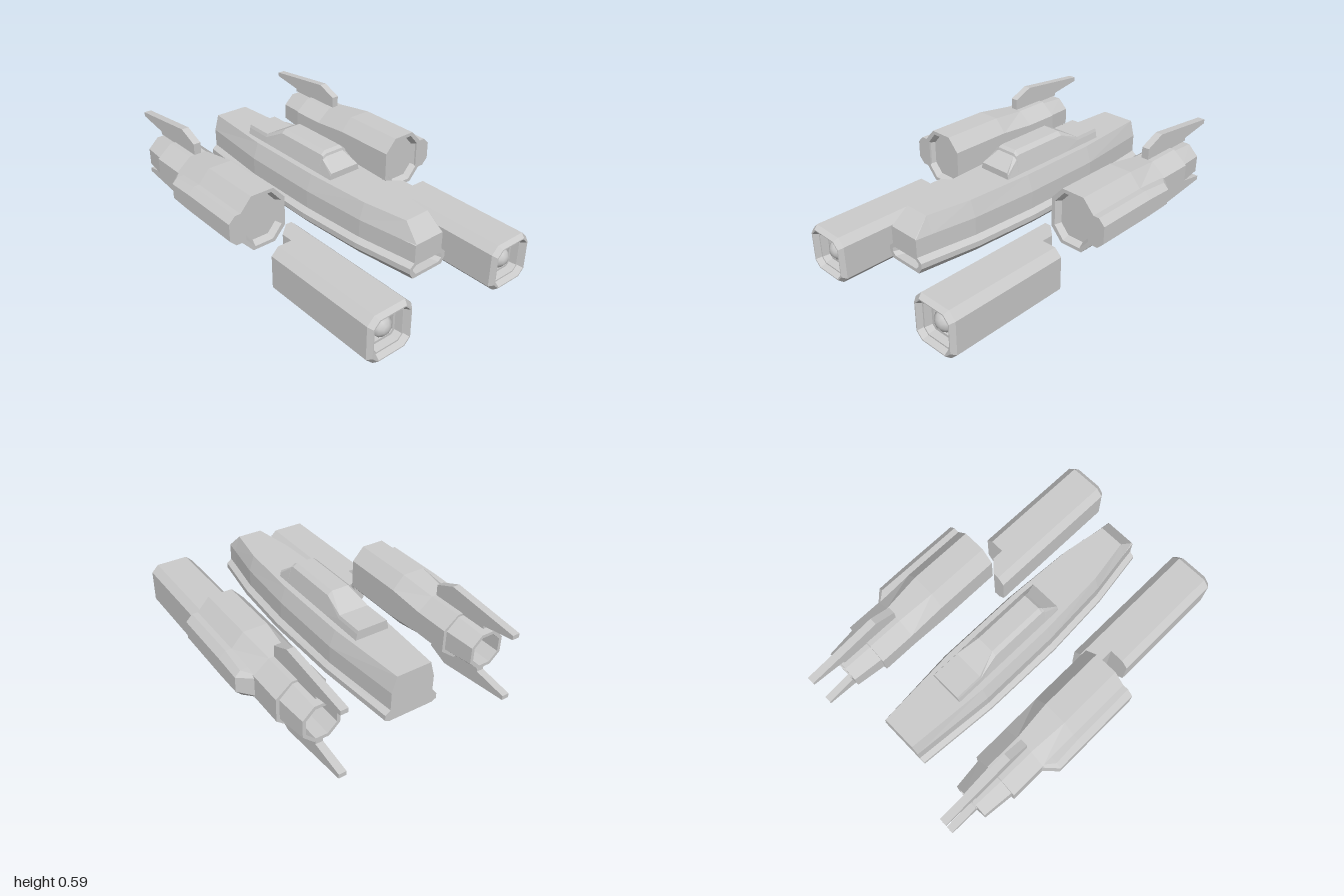
import * as THREE from 'three';

const material = new THREE.MeshStandardMaterial({ color: 0xcccccc, flatShading: true });

// Skin rings of [x, y, z] points (counter-clockwise from the front, listed front to back) and cap both ends.
function loft(name, rings, side = 1) {
  const R = rings.map(r => {
    const m = r.map(([x, y, z]) => [x * side, y, z]);
    return side < 0 ? m.reverse() : m;
  });
  const pos = [];
  const tri = (...p) => p.forEach(q => pos.push(...q));
  const n = R[0].length;
  for (let k = 0; k < R.length - 1; k++) {
    const a = R[k], b = R[k + 1];
    for (let i = 0; i < n; i++) {
      const j = (i + 1) % n;
      tri(a[i], b[i], b[j]);
      tri(a[i], b[j], a[j]);
    }
  }
  const first = R[0], last = R[R.length - 1];
  for (let i = 1; i < n - 1; i++) {
    tri(first[0], first[i], first[i + 1]);
    tri(last[0], last[i + 1], last[i]);
  }
  const g = new THREE.BufferGeometry();
  g.setAttribute('position', new THREE.Float32BufferAttribute(pos, 3));
  g.computeVertexNormals();
  const mesh = new THREE.Mesh(g, material);
  mesh.name = name;
  return mesh;
}

// Octagon with half sizes hx, hy and half flats fx, fy.
const oct = (cx, cy, hx, hy, fx, fy, z) => [
  [-fx, -hy], [fx, -hy], [hx, -fy], [hx, fy], [fx, hy], [-fx, hy], [-hx, fy], [-hx, -fy],
].map(([x, y]) => [cx + x, cy + y, z]);

// Symmetric ring from its right-hand half, listed bottom to top.
const mirrored = (half, z) => [
  ...half.map(([x, y]) => [x, y, z]),
  ...half.slice().reverse().map(([x, y]) => [-x, y, z]),
];

function createHull() {
  const hull = new THREE.Group();
  hull.name = 'hull';

  // z, top half-width, side half-width, lip half-width, keel half-width, top y, bottom y
  const stations = [
    [0.81, 0.088, 0.093, 0.122, 0.1, 0.368, 0.178],
    [0.72, 0.072, 0.105, 0.135, 0.11, 0.455, 0.177],
    [0.47, 0.113, 0.143, 0.172, 0.14, 0.455, 0.175],
    [0.08, 0.133, 0.165, 0.195, 0.16, 0.455, 0.175],
    [-0.4, 0.133, 0.165, 0.19, 0.16, 0.455, 0.178],
    [-0.86, 0.1, 0.126, 0.155, 0.13, 0.455, 0.2],
  ];
  hull.add(loft('upperHull', stations.map(([z, t, s, , , top]) =>
    mirrored([[s, 0.25], [s, 0.365], [t, top]], z))));

  // Lower deck with a recessed intake in the nose
  const deck = stations.map(([z, , s, l, k, , bottom]) =>
    mirrored([[k, bottom], [l, 0.213], [l, 0.243], [s, 0.265]], z));
  const intake = (w, z) => mirrored([[w - 0.02, 0.197], [w, 0.214], [w, 0.236], [w - 0.02, 0.25]], z);
  hull.add(loft('lowerDeck', [intake(0.085, 0.76), intake(0.1, 0.81), ...deck]));

  // Raised cabin: z, mid half-width, mid y, top half-width, top y
  hull.add(loft('cabin', [
    [0.193, 0.095, 0.475, 0.09, 0.49],
    [0.11, 0.08, 0.535, 0.056, 0.548],
    [0.107, 0.076, 0.55, 0.056, 0.562],
    [0.09, 0.075, 0.555, 0.05, 0.575],
    [-0.245, 0.075, 0.555, 0.05, 0.575],
    [-0.37, 0.092, 0.49, 0.086, 0.508],
    [-0.53, 0.092, 0.49, 0.086, 0.508],
  ].map(([z, m, my, t, ty]) => mirrored([[0.1, 0.45], [m, my], [t, ty]], z))));
  return hull;
}

function createFin(name, flip) {
  const profile = [[-0.455, 0.475], [-0.455, 0.545], [-0.57, 0.593], [-1, 0.546],
    [-1, 0.522], [-0.81, 0.492], [-0.81, 0.475]];
  const shape = new THREE.Shape(profile.map(([z, y]) => new THREE.Vector2(-z, flip ? 0.7 - y : y)));
  const g = new THREE.ExtrudeGeometry(shape, { depth: 0.042, bevelEnabled: false });
  g.translate(0, 0, -0.021).rotateY(Math.PI / 2);
  const fin = new THREE.Mesh(g, material);
  fin.name = name;
  return fin;
}

function createEngine(side) {
  const engine = new THREE.Group();
  engine.name = side > 0 ? 'leftEngine' : 'rightEngine';
  const cx = 0.492, cy = 0.35;
  const ring = (hx, hy, fx, fy, z) => oct(cx, cy, hx, hy, fx, fy, z);

  // Body with a shallow recessed front
  engine.add(loft('engineBody', [
    ring(0.097, 0.12, 0.048, 0.064, 0.105),
    ring(0.113, 0.138, 0.055, 0.07, 0.14),
    ring(0.135, 0.158, 0.067, 0.083, 0.14),
    ring(0.135, 0.158, 0.067, 0.083, -0.235),
    ring(0.135, 0.132, 0.05, 0.064, -0.455),
    ring(0.135, 0.132, 0.05, 0.064, -0.66),
  ], side));

  // Hollow nozzle
  engine.add(loft('nozzle', [
    ring(0.118, 0.12, 0.047, 0.056, -0.65),
    ring(0.1, 0.103, 0.04, 0.047, -0.83),
    ring(0.082, 0.085, 0.033, 0.039, -0.83),
    ring(0.082, 0.085, 0.033, 0.039, -0.67),
  ], side));

  // Outer side pod, tapering into the body at the rear
  const pod = (x, c, h, z) => [
    [0.6, cy - h, z], [x - c, cy - h, z], [x, cy - h + c, z],
    [x, cy + h - c, z], [x - c, cy + h, z], [0.6, cy + h, z],
  ];
  engine.add(loft('sidePod', [
    pod(0.695, 0.036, 0.085, 0.14), pod(0.695, 0.036, 0.085, -0.235),
    pod(0.695, 0.03, 0.073, -0.395), pod(0.627, 0.015, 0.066, -0.46),
  ], side));

  for (const flip of [false, true]) {
    const fin = createFin(flip ? 'lowerFin' : 'upperFin', flip);
    fin.position.x = cx * side;
    engine.add(fin);
  }
  return engine;
}

function createGun(side) {
  const gun = new THREE.Group();
  gun.name = side > 0 ? 'leftGun' : 'rightGun';
  const cx = 0.418, cy = 0.136;
  const square = (h, c, z) => oct(cx, cy, h, h, h - c, h - c, z);

  // Casing with a stepped muzzle recess
  gun.add(loft('gunCasing', [
    square(0.068, 0.012, 0.87),
    square(0.072, 0.015, 0.93),
    square(0.085, 0.02, 0.93),
    square(0.092, 0.025, 0.97),
    square(0.1, 0.03, 0.97),
    square(0.112, 0.034, 1),
    square(0.118, 0.036, 1),
    square(0.135, 0.041, 0.975),
    square(0.135, 0.041, 0.285),
  ], side));

  // Rear mount, cut away on the outer side
  const mount = (x, z) => [
    [0.324, 0.001, z], [x, 0.001, z], [x, 0.271, z],
    [0.324, 0.271, z], [0.283, 0.23, z], [0.283, 0.042, z],
  ];
  gun.add(loft('gunMount', [mount(0.43, 0.287), mount(0.43, 0.215), mount(0.36, 0.15)], side));

  // Lens ball inside the muzzle
  const ball = new THREE.SphereGeometry(0.062, 8, 8);
  ball.rotateX(Math.PI / 2).rotateZ(Math.PI / 8);
  const lens = new THREE.Mesh(ball, new THREE.MeshStandardMaterial({ color: 0xcccccc }));
  lens.name = 'lens';
  lens.position.set(cx * side, cy, 0.91);
  gun.add(lens);
  return gun;
}

export function createModel() {
  const model = new THREE.Group();
  model.name = 'spacecraft';
  model.add(createHull());
  for (const side of [1, -1]) model.add(createEngine(side), createGun(side));
  return model;
}
